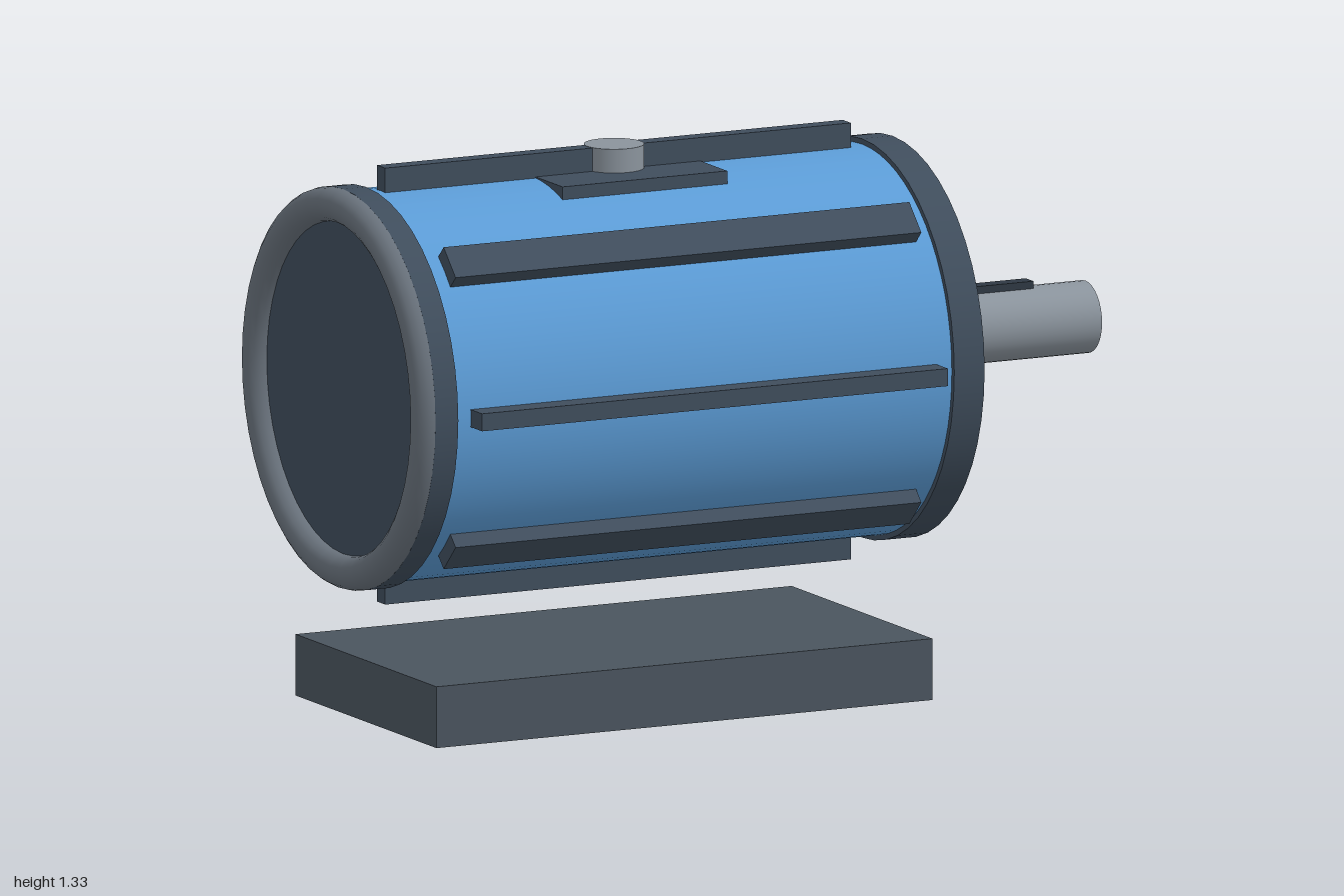
import * as THREE from 'three';

const AXIS_Y = 0.804;

export function createModel() {
  const model = new THREE.Group();
  const paint = (color) => new THREE.MeshStandardMaterial({ color });
  const blue = paint(0x5b9bd5);
  const dark = paint(0x3f4d5c);
  const keyDark = paint(0x2e3843);
  const baseGrey = paint(0x4a545e);
  const ringGrey = paint(0x69727c);
  const steel = paint(0x8a939c);

  const add = (name, geometry, material, x, y, z = 0) => {
    const mesh = new THREE.Mesh(geometry, material);
    mesh.name = name;
    mesh.position.set(x, y, z);
    model.add(mesh);
    return mesh;
  };
  // Cylinder lying along x, between two x positions
  const drum = (name, radius, x0, x1, material, sides = 48) =>
    add(name, new THREE.CylinderGeometry(radius, radius, x1 - x0, sides).rotateZ(-Math.PI / 2),
      material, (x0 + x1) / 2, AXIS_Y);

  // Housing, end caps and output shaft
  drum('housing', 0.465, -0.91, 0.42, blue, 64);
  drum('frontEndCap', 0.478, 0.41, 0.49, dark);
  drum('rearEndCap', 0.478, -0.96, -0.9, dark);
  drum('shaft', 0.086, 0.48, 1, steel, 32);
  add('shaftKey', new THREE.BoxGeometry(0.215, 0.045, 0.04), keyDark, 0.745, 0.8825);

  // Rounded rim on the rear cap
  add('rearRim', new THREE.TorusGeometry(0.437, 0.041, 16, 48).rotateY(Math.PI / 2),
    ringGrey, -0.959, AXIS_Y);

  // Cooling fins: upright on the main axes, lying flat on the diagonals
  for (let i = 0; i < 8; i++) {
    const a = (i * Math.PI) / 4;
    const flat = i % 2 === 1;
    const fin = add('coolingFin', new THREE.BoxGeometry(1.23, flat ? 0.045 : 0.088, flat ? 0.088 : 0.042),
      dark, -0.245, AXIS_Y + 0.479 * Math.cos(a), 0.479 * Math.sin(a));
    fin.rotation.x = a;
  }

  // Terminal plate and its round cap on top
  add('terminalPlate', new THREE.BoxGeometry(0.435, 0.06, 0.32), dark, -0.245, 1.241);
  add('terminalCap', new THREE.CylinderGeometry(0.071, 0.071, 0.07, 32), steel, -0.245, 1.293);

  // Base block
  add('base', new THREE.BoxGeometry(1.31, 0.147, 0.73), baseGrey, -0.245, 0.0735);

  return model;
}
